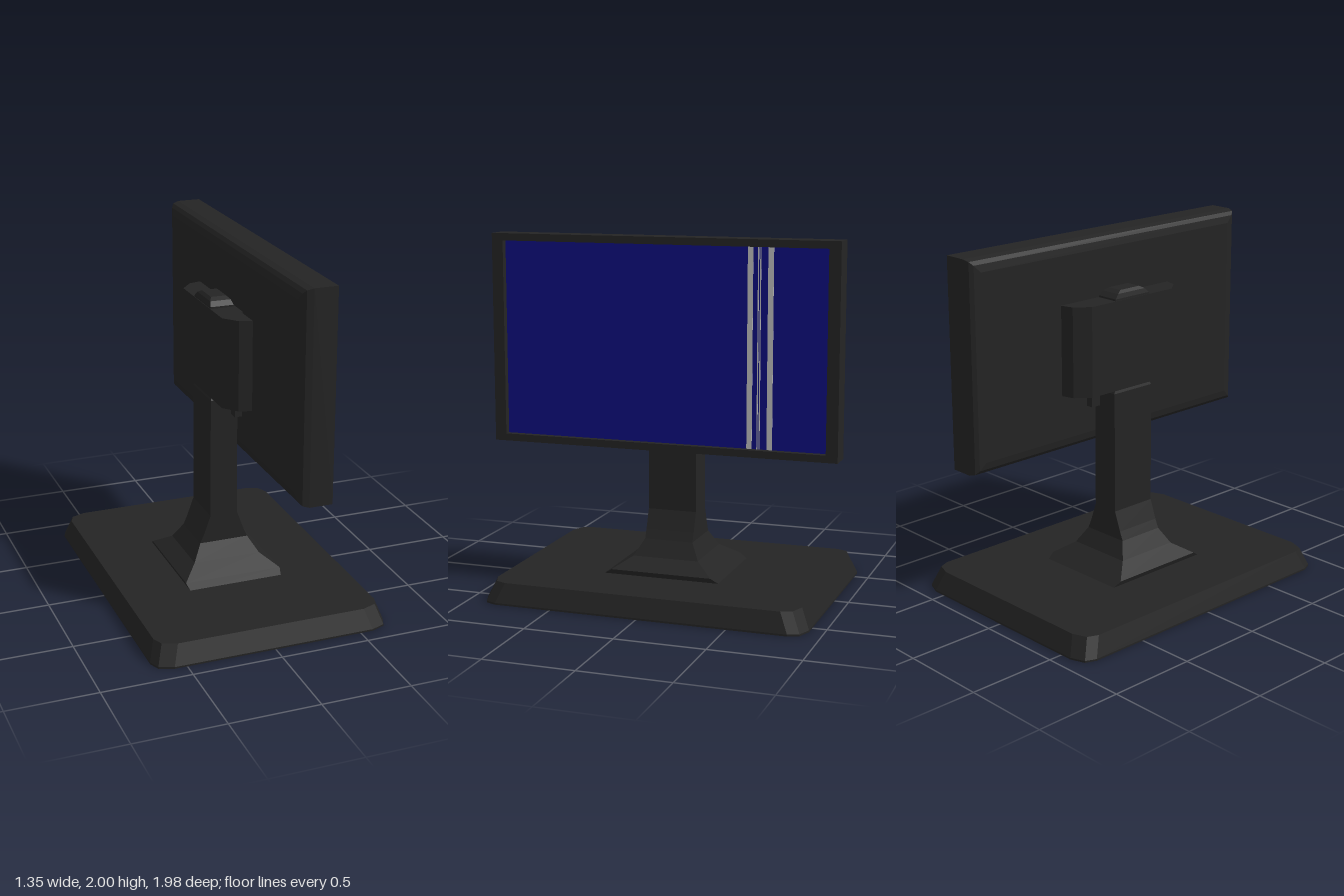
import * as THREE from 'three';

// Skin a stack of equal-sized rings (counter-clockwise seen from the last ring), with flat caps.
function loft(rings) {
  const pos = [];
  const tri = (a, b, c) => pos.push(...a, ...b, ...c);
  const n = rings[0].length;
  for (let k = 0; k < rings.length - 1; k++) {
    for (let i = 0; i < n; i++) {
      const j = (i + 1) % n;
      tri(rings[k][i], rings[k][j], rings[k + 1][j]);
      tri(rings[k][i], rings[k + 1][j], rings[k + 1][i]);
    }
  }
  const first = rings[0], last = rings[rings.length - 1];
  for (let i = 1; i < n - 1; i++) {
    tri(first[0], first[i + 1], first[i]);
    tri(last[0], last[i], last[i + 1]);
  }
  const g = new THREE.BufferGeometry();
  g.setAttribute('position', new THREE.Float32BufferAttribute(pos, 3));
  g.computeVertexNormals();
  return g;
}

// Horizontal rectangle at height y
const rectY = (y, x0, x1, hz) => [[x1, y, hz], [x1, y, -hz], [x0, y, -hz], [x0, y, hz]];

// Upright rectangle at depth x
const rectX = (x, y0, y1, hz) => [[x, y0, hz], [x, y0, -hz], [x, y1, -hz], [x, y1, hz]];

// Horizontal rectangle with two-step rounded corners
function roundedRectY(y, hx, hz) {
  const corner = [[0, 0.09], [0.025, 0.03], [0.105, 0]];
  const pts = [];
  const add = (sx, sz, list) => list.forEach(([dx, dz]) => pts.push([sx * (hx - dx), y, sz * (hz - dz)]));
  const back = [...corner].reverse();
  add(1, 1, back);
  add(1, -1, corner);
  add(-1, -1, back);
  add(-1, 1, corner);
  return pts;
}

export function createModel() {
  const model = new THREE.Group();
  model.name = 'desktopMonitor';
  const plastic = new THREE.MeshStandardMaterial({ color: 0x242424, flatShading: true });
  plastic.name = 'dark plastic';
  const blue = new THREE.MeshStandardMaterial({ color: 0x0d0d80 });
  blue.name = 'screen blue';
  const pale = new THREE.MeshStandardMaterial({ color: 0xc0c0c0 });
  pale.name = 'stripe grey';

  const add = (name, geometry, material = plastic) => {
    const mesh = new THREE.Mesh(geometry, material);
    mesh.name = name;
    model.add(mesh);
    return mesh;
  };

  // Sloped base plate
  const base = add('base', loft([
    roundedRectY(0, 0.675, 0.917),
    roundedRectY(0.01, 0.675, 0.917),
    roundedRectY(0.118, 0.64, 0.87),
  ]));
  base.position.z = -0.004;

  // Flared neck: height, half width in x, half width in z
  const neck = [
    [0.11, 0.27, 0.345], [0.145, 0.283, 0.29], [0.21, 0.195, 0.19], [0.3, 0.142, 0.14],
    [0.35, 0.12, 0.14], [0.46, 0.08, 0.14], [1.15, 0.078, 0.14], [1.17, 0.07, 0.13],
  ];
  add('neck', loft(neck.map(([y, hx, hz]) => rectY(y, -hx, hx, hz))));

  // Winged bracket behind the display
  const outline = [[0.06, 0.4], [0.06, -0.4], [-0.01, -0.38], [-0.075, -0.3], [-0.075, 0.3], [-0.01, 0.38]];
  add('bracket', loft([1.165, 1.67].map((y) => outline.map(([x, z]) => [x, y, z]))));

  // Tapered cap on top of the bracket
  add('bracketCap', loft([
    rectY(1.6, -0.074, 0.06, 0.125),
    rectY(1.68, -0.072, 0.06, 0.125),
    rectY(1.705, -0.065, 0.052, 0.1),
    rectY(1.72, -0.05, 0.037, 0.07),
  ]));

  // Mount joining bracket and display
  const mount = add('mount', new THREE.BoxGeometry(0.06, 0.6, 0.4));
  mount.position.set(0.07, 1.36, 0);

  // Display housing, rounded at the back, with a recessed front opening
  const shell = [[0.083, 0.07], [0.09, 0.03], [0.105, 0.01], [0.14, 0], [0.27, 0]];
  const housing = add('housing', loft([
    ...shell.map(([x, d]) => rectX(x, 0.835 + d, 2 - d, 0.988 - d)),
    rectX(0.27, 0.875, 1.96, 0.923),
    rectX(0.23, 0.875, 1.96, 0.923),
  ]));
  housing.position.z = 0.002;

  // Screen and its vertical stripes, as thin plates
  const plate = (name, z0, z1, x, material) => {
    const mesh = add(name, new THREE.BoxGeometry(0.004, 1.085, z1 - z0), material);
    mesh.position.set(x, 1.4175, (z0 + z1) / 2);
  };
  plate('screen', -0.921, 0.925, 0.231, blue);
  const stripes = [[-0.505, -0.475], [-0.537, -0.531], [-0.549, -0.543], [-0.618, -0.587]];
  stripes.forEach(([z0, z1]) => plate('screenStripe', z0, z1, 0.233, pale));

  return model;
}
